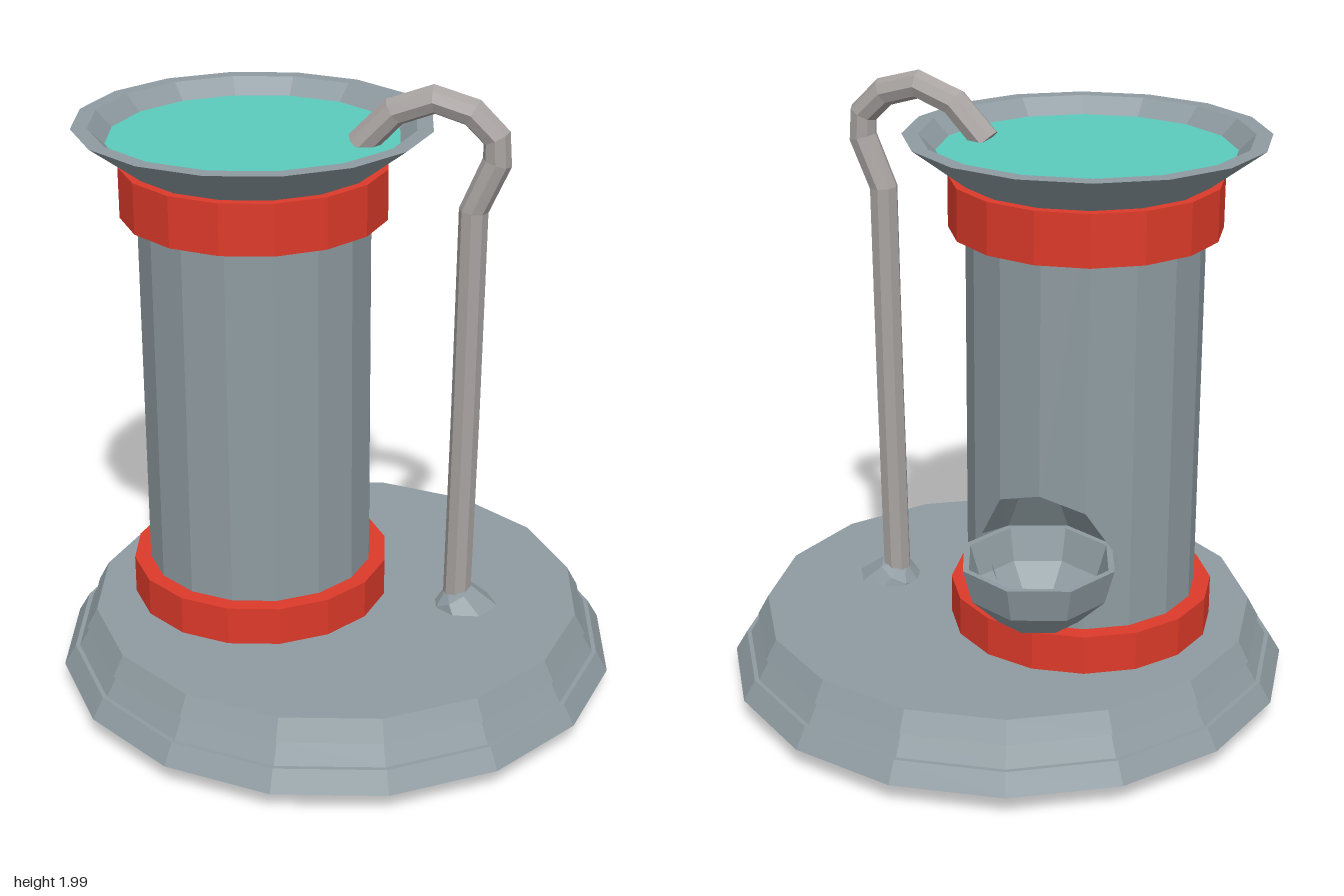
import * as THREE from 'three';

const SIDES = 16;
const CX = -0.255; // column axis
const R = 0.3625; // column radius
const BOWL_Y = 0.63;

const mat = (color) => new THREE.MeshStandardMaterial({ color, flatShading: true, side: THREE.DoubleSide });
const stone = mat(0x8e9ba1);
const red = mat(0xdd3a2a);
const teal = mat(0x5ccbbd);
const metal = mat(0xa8a3a1);

function add(parent, name, geometry, material, x = 0, y = 0, z = 0) {
  const mesh = new THREE.Mesh(geometry, material);
  mesh.name = name;
  mesh.position.set(x, y, z);
  parent.add(mesh);
  return mesh;
}

const lathe = (points, sides = SIDES) =>
  new THREE.LatheGeometry(points.map(([r, y]) => new THREE.Vector2(r, y)), sides);

// Surface through rows of points, all rows equally long
function loft(rows) {
  const pos = [];
  for (let i = 0; i < rows.length - 1; i++) {
    for (let j = 0; j < rows[i].length - 1; j++) {
      const a = rows[i][j], b = rows[i][j + 1], c = rows[i + 1][j + 1], d = rows[i + 1][j];
      pos.push(...a, ...b, ...c, ...a, ...c, ...d);
    }
  }
  const g = new THREE.BufferGeometry();
  g.setAttribute('position', new THREE.Float32BufferAttribute(pos, 3));
  g.computeVertexNormals();
  return g;
}

// Point on the faceted column wall; angle in degrees from the back
function wall(deg, y) {
  const step = 360 / SIDES;
  const off = (Math.floor(deg / step) + 0.5) * step - deg;
  const rad = THREE.MathUtils.degToRad;
  const r = deg % step === 0 ? R : R * Math.cos(rad(step / 2)) / Math.cos(rad(off));
  return [-r * Math.sin(rad(deg)), y, -r * Math.cos(rad(deg))];
}

// Column wall with an opening at the back for the bowl
function columnGeometry() {
  const opening = { 0: [0.45, 0.83], 22.5: [0.485, 0.785] };
  const angles = [-39, 39];
  for (let i = -8; i <= 8; i++) angles.push(i * 22.5);
  angles.sort((a, b) => a - b);
  const edge = (deg, k) => (opening[Math.abs(deg)] || [BOWL_Y, BOWL_Y])[k];
  const low = loft([angles.map((a) => wall(a, 0.28)), angles.map((a) => wall(a, edge(a, 0)))]);
  const high = loft([angles.map((a) => wall(a, edge(a, 1))), angles.map((a) => wall(a, 1.75))]);
  return [low, high];
}

// Hollow above the bowl, set into the column
function recessGeometry() {
  const rings = [[39, BOWL_Y], [22.5, 0.785], [0, 0.83]];
  const rows = rings.map(([deg, y]) => {
    const rho = 2 * R * Math.sin(THREE.MathUtils.degToRad(deg / 2));
    const row = [wall(deg, y)];
    for (const a of [-45, 0, 45]) {
      const t = THREE.MathUtils.degToRad(a);
      row.push([rho * Math.sin(t), y, -R + rho * Math.cos(t)]);
    }
    row.push(wall(-deg, y));
    return row;
  });
  return loft(rows);
}

export function createModel() {
  const model = new THREE.Group();
  model.name = 'fountain';

  // Stepped round base
  add(model, 'base', lathe([
    [0, 0.08], [0.9, 0.08], [0.862, 0.145], [0.848, 0.145], [0.81, 0.21],
    [0.822, 0.21], [0.787, 0.275], [0, 0.275],
  ]), stone);

  // Column with its collars
  const column = new THREE.Group();
  column.name = 'column';
  column.position.x = CX;
  model.add(column);
  const [low, high] = columnGeometry();
  add(column, 'lowerColumnWall', low, stone);
  add(column, 'upperColumnWall', high, stone);
  for (const [name, y0, y1] of [['lowerCollar', 0.275, 0.4], ['upperCollar', 1.57, 1.73]]) {
    add(column, name, lathe([[0.355, y0], [0.415, y0], [0.415, y1], [0.355, y1]]), red);
  }

  // Flared basin and water
  add(column, 'basin', lathe([[0.36, 1.73], [0.385, 1.73], [0.55, 1.855], [0.5, 1.855], [0.445, 1.8]]), stone);
  add(column, 'water', lathe([[0.45, 1.805], [0, 1.805]]), teal);

  // Small drinking bowl at the back
  add(column, 'bowl', lathe([
    [0, 0.41], [0.13, 0.437], [0.215, 0.52], [0.245, BOWL_Y],
    [0.225, BOWL_Y], [0.195, 0.53], [0.115, 0.457], [0, 0.43],
  ], 8), stone, 0, 0, -0.365);
  add(column, 'bowlRecess', recessGeometry(), stone);

  // Curved tap pipe, made of straight runs
  const path = new THREE.CurvePath();
  const pts = [
    [0.4, 0.27], [0.412, 0.95], [0.42, 1.62], [0.487, 1.775], [0.483, 1.85],
    [0.41, 1.922], [0.295, 1.955], [0.175, 1.91], [0.07, 1.8],
  ].map(([x, y]) => new THREE.Vector3(x, y, 0));
  const rows = pts.map((p, i) => {
    const dir = pts[Math.min(i + 1, pts.length - 1)].clone().sub(pts[Math.max(i - 1, 0)]).normalize();
    const row = [];
    for (let k = 0; k <= 8; k++) {
      const a = -(k / 8) * Math.PI * 2;
      const s = 0.045 * Math.cos(a);
      row.push([p.x + dir.y * s, p.y - dir.x * s, 0.045 * Math.sin(a)]);
    }
    return row;
  });
  rows.push(rows[rows.length - 1].map(() => pts[pts.length - 1].toArray()));
  add(model, 'tapPipe', loft(rows), metal);

  // Slanted anchor passing through the base under the pipe
  const anchor = add(model, 'pipeAnchor', new THREE.SphereGeometry(1, 8, 5), stone, 0.46, 0.172, 0);
  anchor.scale.set(0.12, 0.185, 0.13);
  anchor.rotation.z = 0.5;

  return model;
}
